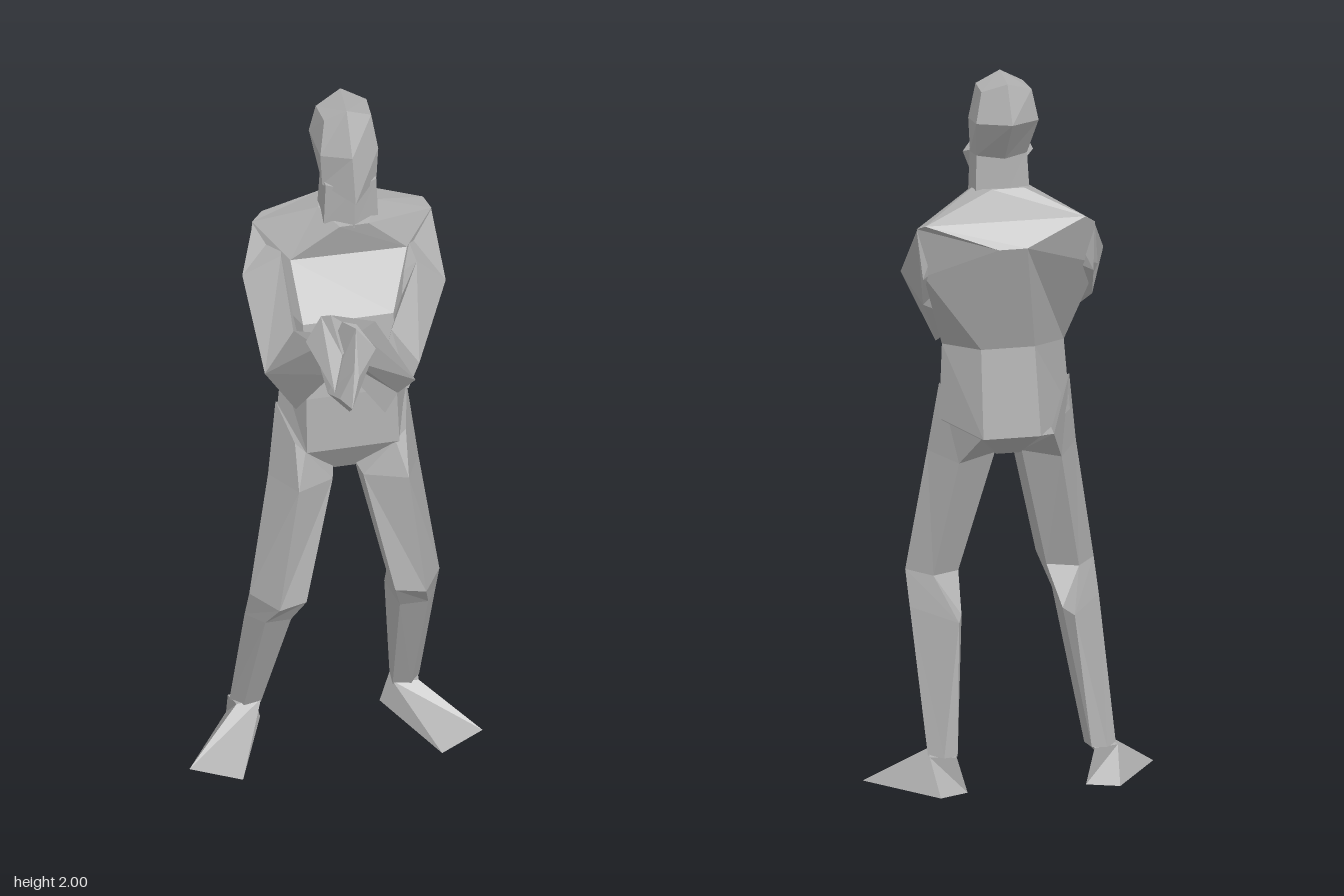
import * as THREE from 'three';

const grey = new THREE.MeshStandardMaterial({ color: 0xb0b0b0, flatShading: true });
grey.name = 'grey';

// Skin a list of matching cross-sections, with closed ends and outward faces
function loft(name, rings) {
  const n = rings[0].length, tris = [];
  for (let r = 0; r + 1 < rings.length; r++) {
    for (let i = 0; i < n; i++) {
      const j = (i + 1) % n, a = rings[r], b = rings[r + 1];
      tris.push([a[i], a[j], b[j]], [a[i], b[j], b[i]]);
    }
  }
  const first = rings[0], last = rings[rings.length - 1];
  for (let i = 1; i + 1 < n; i++) {
    tris.push([first[0], first[i + 1], first[i]], [last[0], last[i], last[i + 1]]);
  }
  // Negative volume means the corners run the wrong way round
  const o = new THREE.Vector3(...first[0]);
  const vec = (p) => new THREE.Vector3(...p).sub(o);
  const volume = tris.reduce((s, [a, b, c]) => s + vec(a).dot(vec(b).cross(vec(c))), 0);
  if (volume < 0) tris.forEach((t) => t.reverse());
  const geometry = new THREE.BufferGeometry();
  geometry.setAttribute('position', new THREE.Float32BufferAttribute(tris.flat(2), 3));
  geometry.computeVertexNormals();
  const mesh = new THREE.Mesh(geometry, grey);
  mesh.name = name;
  return mesh;
}

// Complete a symmetric head section from its front, two left and back points
function headRing(front, left1, left2, back) {
  const flip = ([x, y, z]) => [0.14 - x, y, z];
  return [front, left1, left2, back, flip(left2), flip(left1)];
}

// The legs splay about a line that leans with height
const mirrorLeg = (rings) => rings.map((ring) => ring.map(([x, y, z]) => [0.06 * y - x, y, z]));

export function createModel() {
  const model = new THREE.Group();
  model.name = 'figure';

  // Head and neck
  model.add(loft('head', [
    headRing([0.065, 1.765, -0.14], [0.145, 1.775, -0.24], [0.14, 1.775, -0.29], [0.075, 1.775, -0.34]),
    headRing([0.065, 1.89, -0.18], [0.15, 1.87, -0.24], [0.157, 1.88, -0.35], [0.077, 1.89, -0.43]),
    headRing([0.065, 2.0, -0.25], [0.135, 1.97, -0.26], [0.14, 1.965, -0.34], [0.075, 1.99, -0.37]),
  ]));
  model.add(loft('neck', [
    headRing([0.07, 1.66, -0.18], [0.145, 1.66, -0.22], [0.145, 1.67, -0.3], [0.07, 1.67, -0.335]),
    headRing([0.07, 1.785, -0.18], [0.14, 1.785, -0.22], [0.14, 1.785, -0.29], [0.07, 1.785, -0.325]),
  ]));

  // Torso: front right, front left, left, back left, back right, right
  model.add(loft('torso', [
    [[0.03, 1.67, -0.18], [0.11, 1.67, -0.18], [0.15, 1.68, -0.27],
      [0.11, 1.69, -0.335], [0.02, 1.69, -0.335], [-0.01, 1.68, -0.27]],
    [[-0.1, 1.56, -0.21], [0.22, 1.56, -0.2], [0.315, 1.59, -0.32],
      [0.3, 1.605, -0.355], [-0.14, 1.61, -0.38], [-0.17, 1.59, -0.365]],
    [[-0.09, 1.42, -0.1], [0.16, 1.42, -0.1], [0.29, 1.45, -0.3],
      [0.11, 1.54, -0.41], [0.03, 1.54, -0.41], [-0.19, 1.46, -0.32]],
    [[-0.09, 1.2, -0.06], [0.16, 1.2, -0.06], [0.21, 1.23, -0.19],
      [0.13, 1.235, -0.3], [-0.02, 1.235, -0.3], [-0.13, 1.22, -0.19]],
    [[-0.09, 1.03, -0.05], [0.165, 1.03, -0.05], [0.215, 1.02, -0.18],
      [0.13, 0.99, -0.325], [-0.03, 0.99, -0.325], [-0.15, 1.02, -0.18]],
    [[0, 0.92, -0.12], [0.065, 0.92, -0.12], [0.075, 0.92, -0.16],
      [0.065, 0.92, -0.22], [0, 0.92, -0.22], [-0.01, 0.92, -0.16]],
  ]));

  // Legs: inner front, outer front, outer, back, inner
  const leg = [
    [[0.155, 1.03, -0.055], [0.185, 1.06, -0.06], [0.215, 1.12, -0.18], [0.13, 0.99, -0.31], [0.04, 0.95, -0.2]],
    [[0.07, 0.92, -0.07], [0.18, 0.94, 0], [0.235, 0.92, -0.13], [0.17, 0.9, -0.22], [0.065, 0.92, -0.2]],
    [[0.14, 0.58, 0.01], [0.22, 0.58, 0.035], [0.28, 0.575, -0.07], [0.22, 0.57, -0.14], [0.14, 0.57, -0.1]],
    [[0.165, 0.49, -0.045], [0.24, 0.5, -0.03], [0.278, 0.48, -0.11], [0.175, 0.46, -0.24], [0.155, 0.47, -0.19]],
    [[0.185, 0.1, -0.22], [0.235, 0.1, -0.21], [0.265, 0.1, -0.25], [0.23, 0.1, -0.29], [0.19, 0.1, -0.28]],
  ];
  const foot = [
    [[0.185, 0.11, -0.22], [0.255, 0.11, -0.21], [0.265, 0.1, -0.27], [0.195, 0.1, -0.29]],
    [[0.275, 0, -0.015], [0.405, 0, -0.095], [0.25, 0, -0.33], [0.165, 0, -0.29]],
  ];
  model.add(loft('leftLeg', leg), loft('rightLeg', mirrorLeg(leg)));
  model.add(loft('leftFoot', foot), loft('rightFoot', mirrorLeg(foot)));

  // Arms: top, outer, bottom, inner
  model.add(loft('leftUpperArm', [
    [[0.22, 1.59, -0.25], [0.315, 1.585, -0.32], [0.3, 1.45, -0.33], [0.17, 1.47, -0.18]],
    [[0.24, 1.53, -0.17], [0.325, 1.44, -0.19], [0.27, 1.35, -0.22], [0.18, 1.4, -0.15]],
    [[0.15, 1.38, -0.08], [0.22, 1.28, -0.05], [0.19, 1.2, -0.05], [0.11, 1.25, -0.05]],
  ]));
  model.add(loft('leftForearm', [
    [[0.1, 1.43, -0.06], [0.205, 1.24, -0.03], [0.16, 1.19, -0.05], [0.1, 1.21, 0.06]],
    [[-0.08, 1.655, 0.19], [-0.005, 1.6, 0.21], [-0.03, 1.53, 0.24], [-0.09, 1.56, 0.23]],
    [[-0.125, 1.715, 0.27], [-0.08, 1.62, 0.33], [-0.11, 1.53, 0.37], [-0.165, 1.63, 0.26]],
  ]));
  model.add(loft('rightUpperArm', [
    [[-0.1, 1.6, -0.32], [-0.17, 1.585, -0.36], [-0.17, 1.45, -0.35], [-0.09, 1.48, -0.28]],
    [[-0.12, 1.56, -0.235], [-0.22, 1.49, -0.265], [-0.19, 1.36, -0.26], [-0.09, 1.42, -0.2]],
    [[-0.12, 1.41, -0.08], [-0.2, 1.29, -0.08], [-0.14, 1.23, -0.05], [-0.09, 1.28, -0.06]],
  ]));
  model.add(loft('rightForearm', [
    [[-0.12, 1.42, -0.08], [-0.2, 1.29, -0.08], [-0.135, 1.225, 0.01], [-0.09, 1.28, -0.06]],
    [[-0.06, 1.6, 0.21], [-0.12, 1.57, 0.21], [-0.09, 1.5, 0.25], [-0.04, 1.55, 0.24]],
  ]));
  model.add(loft('rightHand', [
    [[-0.06, 1.665, 0.24], [-0.02, 1.65, 0.24], [-0.03, 1.54, 0.24], [-0.12, 1.52, 0.24]],
    [[-0.04, 1.695, 0.32], [0.015, 1.62, 0.32], [-0.06, 1.43, 0.33], [-0.12, 1.5, 0.33]],
    [[-0.06, 1.61, 0.39], [-0.05, 1.59, 0.4], [-0.075, 1.51, 0.43], [-0.1, 1.52, 0.39]],
  ]));

  return model;
}
